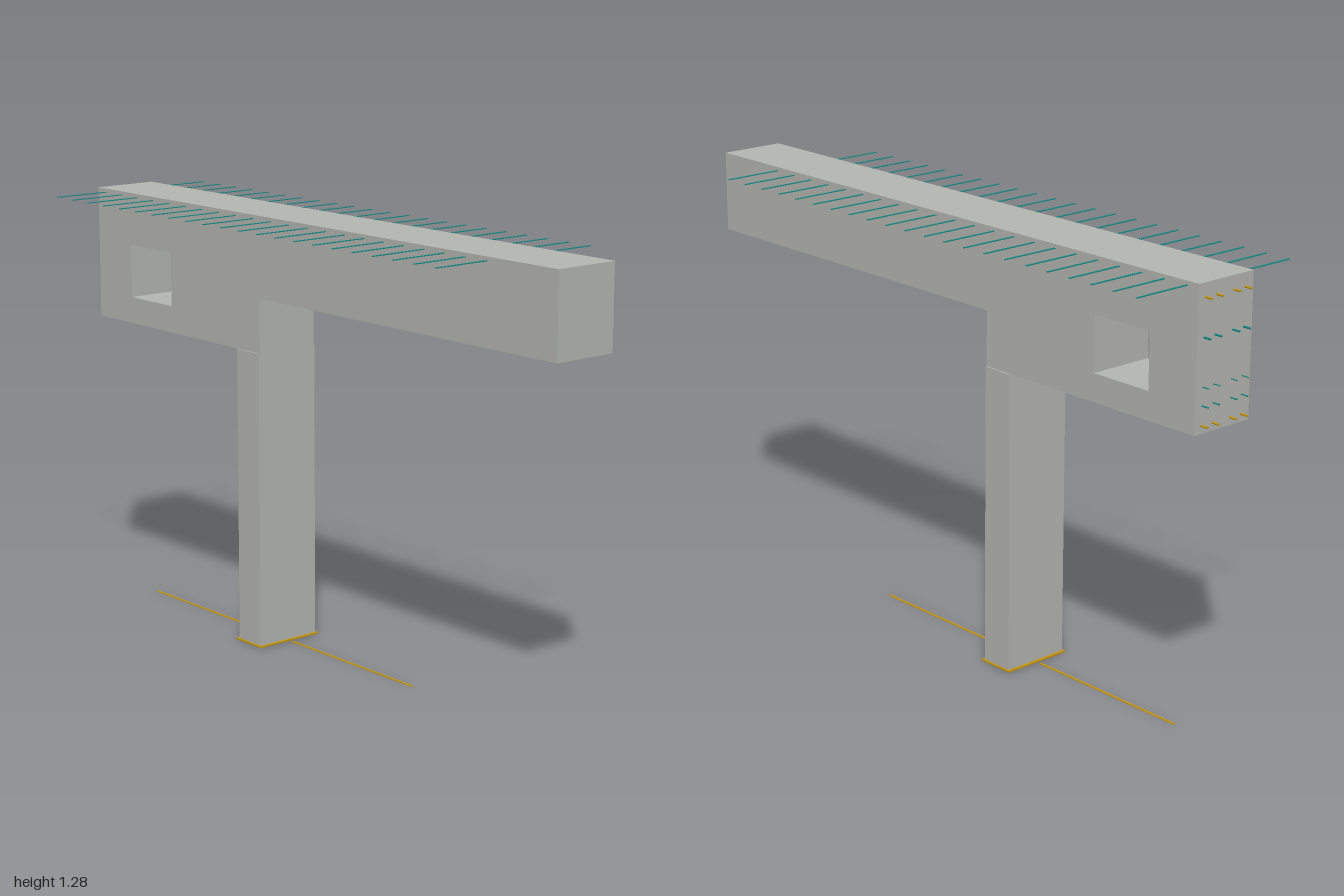
import * as THREE from 'three';

const material = (name, color) => {
  const m = new THREE.MeshStandardMaterial({ color });
  m.name = name;
  return m;
};

export function createModel() {
  const group = new THREE.Group();
  const concrete = material('concrete grey', 0xb6b8b2);
  const teal = material('teal steel', 0x128a86);
  const gold = material('ochre steel', 0xc8960c);

  const add = (name, geometry, mat, x, y, z) => {
    const mesh = new THREE.Mesh(geometry, mat);
    mesh.name = name;
    mesh.position.set(x, y, z);
    group.add(mesh);
  };
  const strip = (name, w, h, d, mat, x, y, z) =>
    add(name, new THREE.BoxGeometry(w, h, d), mat, x, y, z);

  // Stepped beam with a rectangular opening
  const profile = new THREE.Shape([
    [-0.975, 0.88], [-0.19, 0.88], [-0.19, 1.04], [0.998, 1.04], [0.998, 1.278], [-0.975, 1.278],
  ].map(([x, y]) => new THREE.Vector2(x, y)));
  profile.holes.push(new THREE.Path([
    [-0.81, 0.96], [-0.81, 1.12], [-0.61, 1.12], [-0.61, 0.96],
  ].map(([x, y]) => new THREE.Vector2(x, y))));
  const beam = new THREE.ExtrudeGeometry(profile, { depth: 0.2, bevelEnabled: false });
  add('steppedBeam', beam, concrete, 0, 0, -0.1);

  // Column, slightly deeper than the beam
  strip('column', 0.1, 0.88, 0.208, concrete, -0.24, 0.44, 0);

  // Row of thin transverse bars sticking out of both sides near the top
  for (let i = 0; i < 22; i++) {
    strip('transverseBar', 0.006, 0.002, 0.556, teal, -0.936 + i * 0.0798, 1.267, 0);
  }

  // Bar ends projecting from the deep end of the beam
  const rows = [
    [1.24, 0.003, gold], [1.135, 0.003, teal], [1.005, 0.0015, teal],
    [0.955, 0.002, teal], [0.902, 0.003, gold],
  ];
  for (const [y, radius, mat] of rows) {
    for (const z of [-0.075, -0.035, 0.03, 0.07]) {
      const end = new THREE.CylinderGeometry(radius, radius, 0.03, 8).rotateZ(Math.PI / 2);
      add('endBar', end, mat, -0.983, y, z);
    }
  }

  // Flat frame around the column foot
  for (const side of [-1, 1]) {
    strip('footFrameLong', 0.008, 0.004, 0.22, gold, -0.24 + side * 0.054, 0.002, 0);
    strip('footFrameShort', 0.116, 0.004, 0.008, gold, -0.24, 0.002, side * 0.106);
  }

  // Flat ground bars running out on both sides of the foot
  for (const x of [-0.575, 0.095]) {
    strip('groundBar', 0.53, 0.002, 0.007, gold, x, 0.001, 0);
  }

  return group;
}
